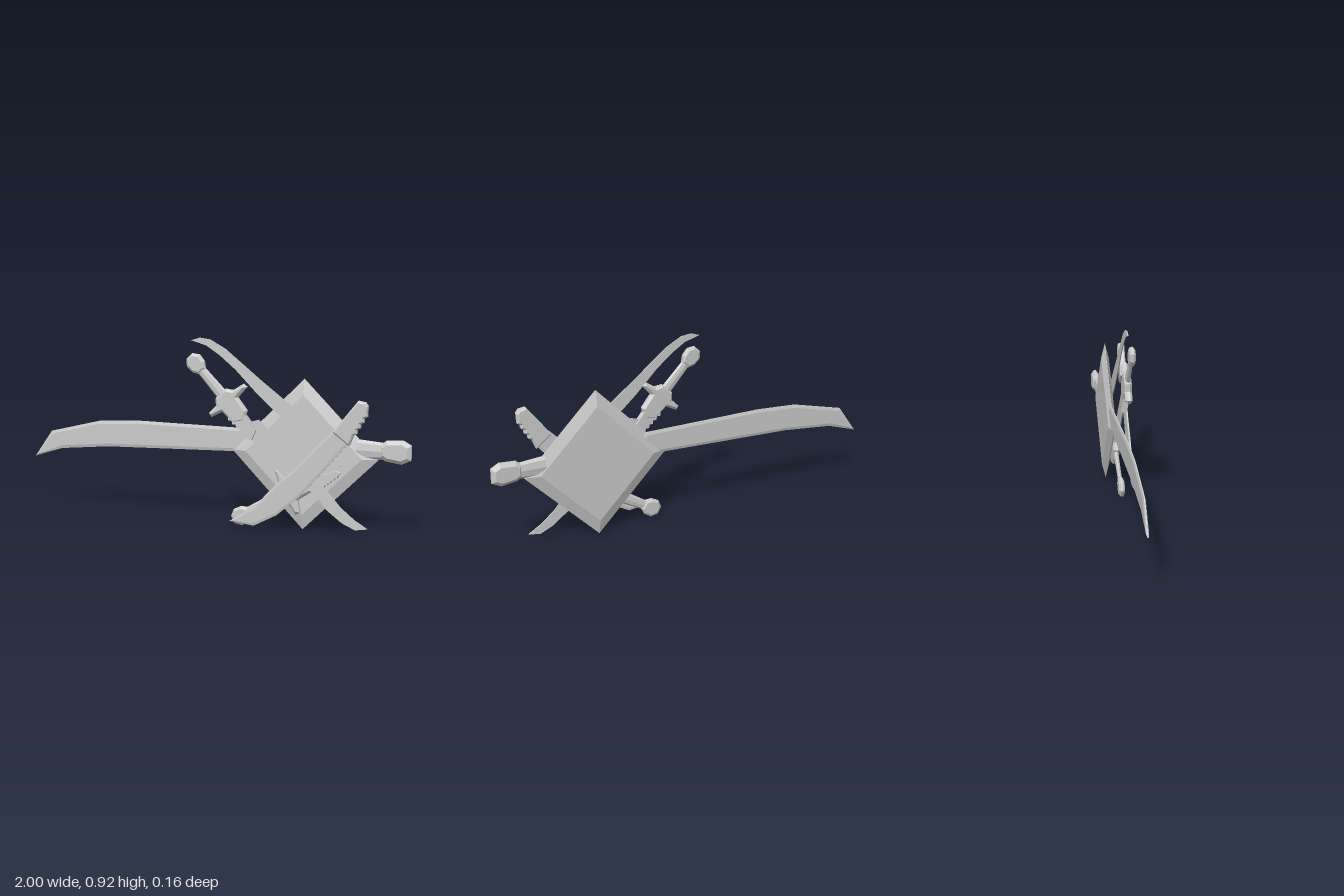
import * as THREE from 'three';

const mat = new THREE.MeshStandardMaterial({ color: 0xcccccc, flatShading: true, side: THREE.DoubleSide });

// Flat plate with chamfered rim; the outline is its outermost edge
function plate(name, pts, z, thick, inset = 0, rim = 0) {
  const shape = new THREE.Shape(pts.map(p => new THREE.Vector2(...p)));
  const bevel = inset > 0 ? (thick - rim) / 2 : 0;
  const geo = new THREE.ExtrudeGeometry(shape, {
    depth: thick - 2 * bevel, bevelEnabled: inset > 0, bevelSegments: 1,
    bevelSize: inset, bevelOffset: -inset, bevelThickness: bevel,
  });
  geo.translate(0, 0, z - thick / 2 + bevel);
  const mesh = new THREE.Mesh(geo, mat);
  mesh.name = name;
  return mesh;
}

// Faceted grip lying along x
function grip(x0, x1, r0, r1, depth) {
  const geo = new THREE.CylinderGeometry(r1, r0, x1 - x0, 8);
  geo.rotateZ(-Math.PI / 2);
  geo.scale(1, 1, depth);
  geo.translate((x0 + x1) / 2, 0, 0);
  const mesh = new THREE.Mesh(geo, mat);
  mesh.name = 'grip';
  return mesh;
}

// Zigzag edge running from a to b
function zigzag(a, b, teeth, height) {
  const pts = [];
  const dx = b[0] - a[0], dy = b[1] - a[1], len = Math.hypot(dx, dy);
  for (let i = 0; i <= teeth * 2; i++) {
    const t = i / (teeth * 2), h = i % 2 ? height : 0;
    pts.push([a[0] + dx * t + dy / len * h, a[1] + dy * t - dx / len * h]);
  }
  return pts;
}

// Hilt along +x with the pommel at the origin
function hilt(name, x, y, z, angle, stretch, teeth) {
  const g = new THREE.Group();
  g.name = name;
  g.add(plate('pommel', [[-0.05, -0.02], [-0.05, 0.02], [-0.02, 0.045], [0.02, 0.042],
    [0.05, 0.022], [0.05, -0.022], [0.02, -0.042], [-0.02, -0.045]], 0, 0.03, 0.012, 0.012));
  const s = stretch;
  g.add(grip(0.035, 0.22 * s, 0.024, 0.03, 0.45));
  g.add(plate('guard', [[0.19, -0.035], [0.22, -0.06], [0.222, -0.112], [0.245, -0.115], [0.262, -0.055],
    [0.34, -0.048], [0.37, 0], [0.34, 0.048], [0.262, 0.055], [0.255, 0.125], [0.232, 0.122],
    [0.22, 0.06], [0.19, 0.035]].map(p => [p[0] * s, p[1]]), 0, 0.036, 0.012, 0.014));
  g.add(plate('serratedSpine', teeth, 0, 0.03));
  g.position.set(x, y, z);
  g.rotation.z = angle;
  return g;
}

export function createModel() {
  const model = new THREE.Group();
  model.name = 'swordPile';

  // Great sword lying at the back
  const great = new THREE.Group();
  great.name = 'greatSword';
  great.add(plate('greatGuard', [[0.477, 0.003], [0.845, 0.373], [0.477, 0.741], [0.112, 0.373]],
    -0.06, 0.04, 0.054, 0.001));
  great.add(plate('greatBlade', [[-1, 0.26], [-0.84, 0.312], [-0.57, 0.34], [0.2, 0.367], [0.3, 0.42],
    [0.22, 0.482], [-0.4, 0.484], [-0.62, 0.47], [-0.9, 0.4]], -0.064, 0.014, 0.015, 0.005));
  const greatGrip = grip(0.74, 0.9, 0.05, 0.038, 0.4);
  greatGrip.position.set(0, 0.417, -0.06);
  great.add(greatGrip);
  great.add(plate('greatPommel', [[0.85, 0.39], [0.88, 0.37], [0.955, 0.36], [1, 0.382], [1, 0.452],
    [0.96, 0.474], [0.88, 0.468], [0.85, 0.445]], -0.06, 0.04, 0.018, 0.012));
  model.add(great);

  // Upper dagger with its curved blade
  model.add(hilt('upperHilt', -0.055, 0.797, 0.004, -0.82, 1,
    [...zigzag([0.3, -0.045], [0.46, -0.03], 6, 0.012), [0.44, 0.02], [0.3, 0.03]]));
  model.add(plate('lowerCurvedBlade', [[0.17, 0.51], [0.24, 0.435], [0.43, 0.235], [0.55, 0.205],
    [0.61, 0.128], [0.69, 0.068], [0.755, 0.04], [0.815, 0.05], [0.75, 0.088], [0.68, 0.145],
    [0.61, 0.225], [0.46, 0.35], [0.27, 0.54]], 0.002, 0.006));

  // Loose curved blade with a square tang
  model.add(plate('upperCurvedBlade', [[-0.09, 0.908], [-0.045, 0.922], [0.01, 0.915], [0.09, 0.872],
    [0.27, 0.73], [0.45, 0.595], [0.62, 0.465], [0.66, 0.41], [0.70, 0.365], [0.665, 0.33],
    [0.63, 0.355], [0.58, 0.39], [0.42, 0.515], [0.25, 0.665], [0.14, 0.775], [0.06, 0.84],
    [-0.01, 0.885]], -0.018, 0.005));

  // Lower hilt with a short jagged stub
  model.add(hilt('lowerHilt', 0.177, 0.055, -0.017, 0.52, 1.15,
    [[0.38, -0.03], ...zigzag([0.44, -0.05], [0.54, -0.035], 5, 0.008), [0.555, -0.03],
      [0.54, -0.01], [0.46, 0.005], [0.38, 0.03]]));

  // Front machete, leaning forward toward its grip
  const machete = new THREE.Group();
  machete.name = 'machete';
  machete.add(plate('macheteBlade', [[0.14, 0.04], [0.265, 0.028], [0.38, 0.09], [0.5, 0.195],
    [0.61, 0.32], [0.73, 0.465], [0.665, 0.53], [0.58, 0.445], [0.47, 0.325], [0.375, 0.24],
    [0.27, 0.125]], 0.052, 0.012, 0.012, 0.006));
  machete.add(plate('macheteGrip', [[0.655, 0.515], [0.735, 0.455],
    ...zigzag([0.755, 0.505], [0.82, 0.615], 4, 0.01), [0.822, 0.645], [0.81, 0.662], [0.775, 0.668]],
    0.052, 0.034, 0.008, 0.02));
  machete.children.forEach(m => {
    const p = m.geometry.attributes.position;
    for (let i = 0; i < p.count; i++) p.setZ(i, p.getZ(i) + 0.022 * p.getY(i));
    m.geometry.computeVertexNormals();
  });
  model.add(machete);

  return model;
}
